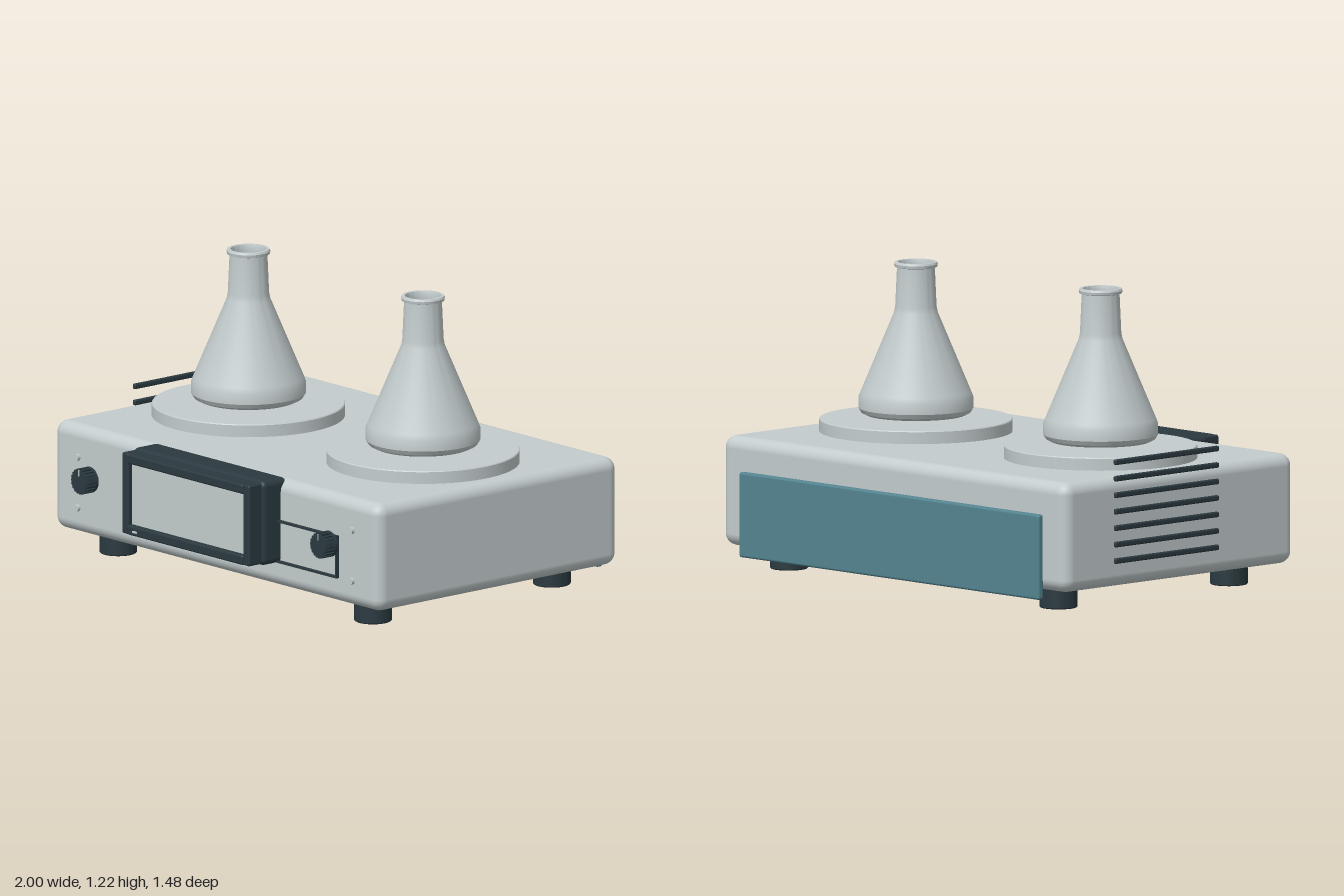
import * as THREE from 'three';
import { toCreasedNormals } from 'three/addons/utils/BufferGeometryUtils.js';
import { RoundedBoxGeometry } from 'three/addons/geometries/RoundedBoxGeometry.js';

const material = (name, color) => Object.assign(new THREE.MeshStandardMaterial({ color }), { name });

export function createModel() {
  const shell = material('light grey shell', 0xc3cccd);
  const dark = material('dark slate', 0x2b3a40);
  const teal = material('teal panel', 0x538490);

  const root = new THREE.Group();
  root.name = 'doubleHotplate';
  const model = new THREE.Group();
  model.name = 'hotplateParts';
  model.position.x = 0.006;
  root.add(model);

  const add = (name, geometry, mat, x = 0, y = 0, z = 0, parent = model) => {
    const mesh = new THREE.Mesh(geometry, mat);
    mesh.name = name;
    mesh.position.set(x, y, z);
    parent.add(mesh);
    return mesh;
  };
  // Box given by its limits, with optional rounded edges
  const block = (name, mat, [x0, x1], [y0, y1], [z0, z1], r = 0, parent = model) => {
    const size = [x1 - x0, y1 - y0, z1 - z0];
    const geometry = r ? new RoundedBoxGeometry(...size, 4, r) : new THREE.BoxGeometry(...size);
    return add(name, geometry, mat, (x0 + x1) / 2, (y0 + y1) / 2, (z0 + z1) / 2, parent);
  };
  const lathe = (profile) => toCreasedNormals(
    new THREE.LatheGeometry(profile.map(([r, y]) => new THREE.Vector2(r, y)), 64), 0.5);

  // Housing and rear panel
  block('housing', shell, [-0.991, 0.991], [0.09, 0.535], [-0.715, 0.572], 0.05);
  block('rearPanel', teal, [-0.862, 0.862], [0.055, 0.4], [-0.74, -0.71], 0.01);

  // Feet
  const footShape = lathe([[0, 0], [0.072, 0], [0.076, 0.004], [0.076, 0.1], [0, 0.1]]);
  for (const x of [-0.775, 0.775]) {
    for (const z of [-0.543, 0.41]) add('foot', footShape, dark, x, 0, z);
  }

  // Heating plates and conical flasks
  const plateShape = lathe([
    [0, 0.53], [0.388, 0.53], [0.388, 0.583], [0.385, 0.587], [0, 0.587]]);
  const flaskShape = lathe([
    [0, 0.602], [0.2, 0.602], [0.22, 0.612], [0.231, 0.63], [0.231, 0.672], [0.222, 0.695],
    [0.088, 1.015], [0.083, 1.04], [0.076, 1.198], [0.086, 1.201], [0.088, 1.212],
    [0.084, 1.22], [0.072, 1.22], [0.069, 1.21], [0.069, 1.19], [0.075, 1.04],
    [0.08, 1.01], [0.214, 0.69], [0.222, 0.67], [0.22, 0.63], [0.2, 0.612], [0, 0.612]]);
  for (const x of [-0.531, 0.531]) {
    add('heatingPlate', plateShape, shell, x, 0, -0.07);
    add('flask', flaskShape, shell, x, 0, -0.07);
  }

  // Display unit: rounded case, projecting bezel and screen
  const display = new THREE.Group();
  display.name = 'displayUnit';
  model.add(display);
  block('displayCase', dark, [-0.402, 0.398], [0.193, 0.541], [0.53, 0.668], 0.025, display);
  block('screen', shell, [-0.352, 0.35], [0.236, 0.498], [0.66, 0.71], 0, display);
  for (const [y0, y1] of [[0.2, 0.24], [0.493, 0.533]]) {
    block('bezelRail', dark, [-0.352, 0.35], [y0, y1], [0.65, 0.735], 0.008, display);
  }
  for (const [x0, x1] of [[-0.39, -0.35], [0.348, 0.386]]) {
    block('bezelPost', dark, [x0, x1], [0.2, 0.533], [0.65, 0.73], 0.008, display);
  }
  block('statusLight', shell, [-0.315, -0.29], [0.215, 0.223], [0.732, 0.739], 0, display);

  // Ribbed control knobs with a pointer line
  const capShape = new THREE.CylinderGeometry(0.053, 0.053, 0.012, 40).rotateX(Math.PI / 2);
  const coreShape = new THREE.CylinderGeometry(0.047, 0.047, 0.05, 40).rotateX(Math.PI / 2);
  const ribShape = new THREE.BoxGeometry(0.008, 0.008, 0.046);
  for (const x of [-0.728, 0.728]) {
    const knob = new THREE.Group();
    knob.name = 'controlKnob';
    knob.position.set(x, 0.338, 0.6);
    model.add(knob);
    add('knobBase', capShape, dark, 0, 0, 0.008, knob);
    add('knobCore', coreShape, dark, 0, 0, 0.036, knob);
    for (let i = 0; i < 20; i++) {
      const a = (i / 20) * Math.PI * 2;
      add('knobRib', ribShape, dark, 0.049 * Math.cos(a), 0.049 * Math.sin(a), 0.035, knob).rotation.z = a;
    }
    block('knobPointer', shell, [-0.002, 0.002], [0.022, 0.048], [0.06, 0.064], 0, knob);
  }

  // Thin outline around the right-hand control area
  for (const y of [0.2, 0.367]) {
    block('controlOutline', dark, [0.3, 0.754], [y - 0.004, y + 0.004], [0.57, 0.588]);
  }
  block('controlOutline', dark, [0.746, 0.754], [0.196, 0.371], [0.57, 0.588]);

  // Front screws
  const screwShape = new THREE.CylinderGeometry(0.014, 0.014, 0.02, 20).rotateX(Math.PI / 2);
  for (const x of [-0.834, 0.834]) {
    for (const y of [0.198, 0.407]) add('screw', screwShape, shell, x, y, 0.575);
  }

  // Side ventilation bars
  for (let i = 0; i < 7; i++) {
    const y = 0.198 + i * 0.0667;
    block('ventBar', dark, [-1.006, -0.988], [y - 0.011, y + 0.011], [-0.445, 0.133], 0.006);
  }

  return root;
}
